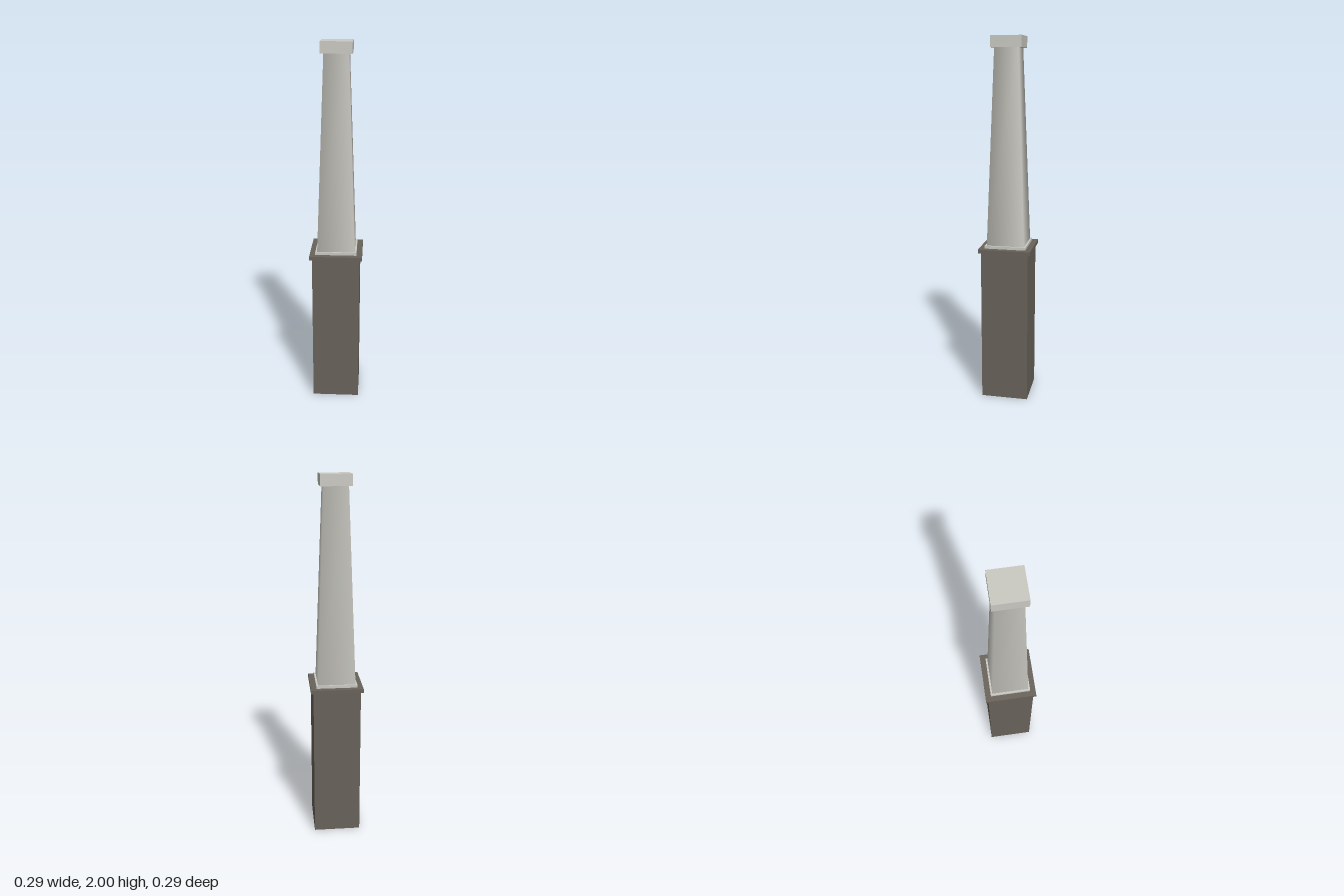
import * as THREE from 'three';

export function createModel() {
  const group = new THREE.Group();
  const stone = new THREE.MeshStandardMaterial({ color: 0x68625a });
  stone.name = 'dark stone';
  const paint = new THREE.MeshStandardMaterial({ color: 0xcac9c2 });
  paint.name = 'off-white paint';

  const add = (name, geometry, material, y) => {
    const mesh = new THREE.Mesh(geometry, material);
    mesh.name = name;
    mesh.position.y = y;
    group.add(mesh);
  };
  // Square block, given its half width and the heights it spans
  const block = (name, half, y0, y1, material) =>
    add(name, new THREE.BoxGeometry(half * 2, y1 - y0, half * 2), material, (y0 + y1) / 2);

  // Pedestal with its projecting ledge
  block('pedestal', 0.13, 0, 0.852, stone);
  block('pedestalLedge', 0.144, 0.852, 0.872, stone);

  // Column: foot plate, tapered shaft and cap
  block('columnFoot', 0.113, 0.872, 0.887, paint);
  const y0 = 0.887, y1 = 1.94;
  // Four-sided taper with normals smoothed around the corners
  const shaft = new THREE.CylinderGeometry(0.065 * Math.SQRT2, 0.103 * Math.SQRT2, y1 - y0, 4);
  shaft.rotateY(Math.PI / 4);
  add('columnShaft', shaft, paint, (y0 + y1) / 2);
  block('columnCap', 0.083, y1, 2, paint);

  return group;
}
